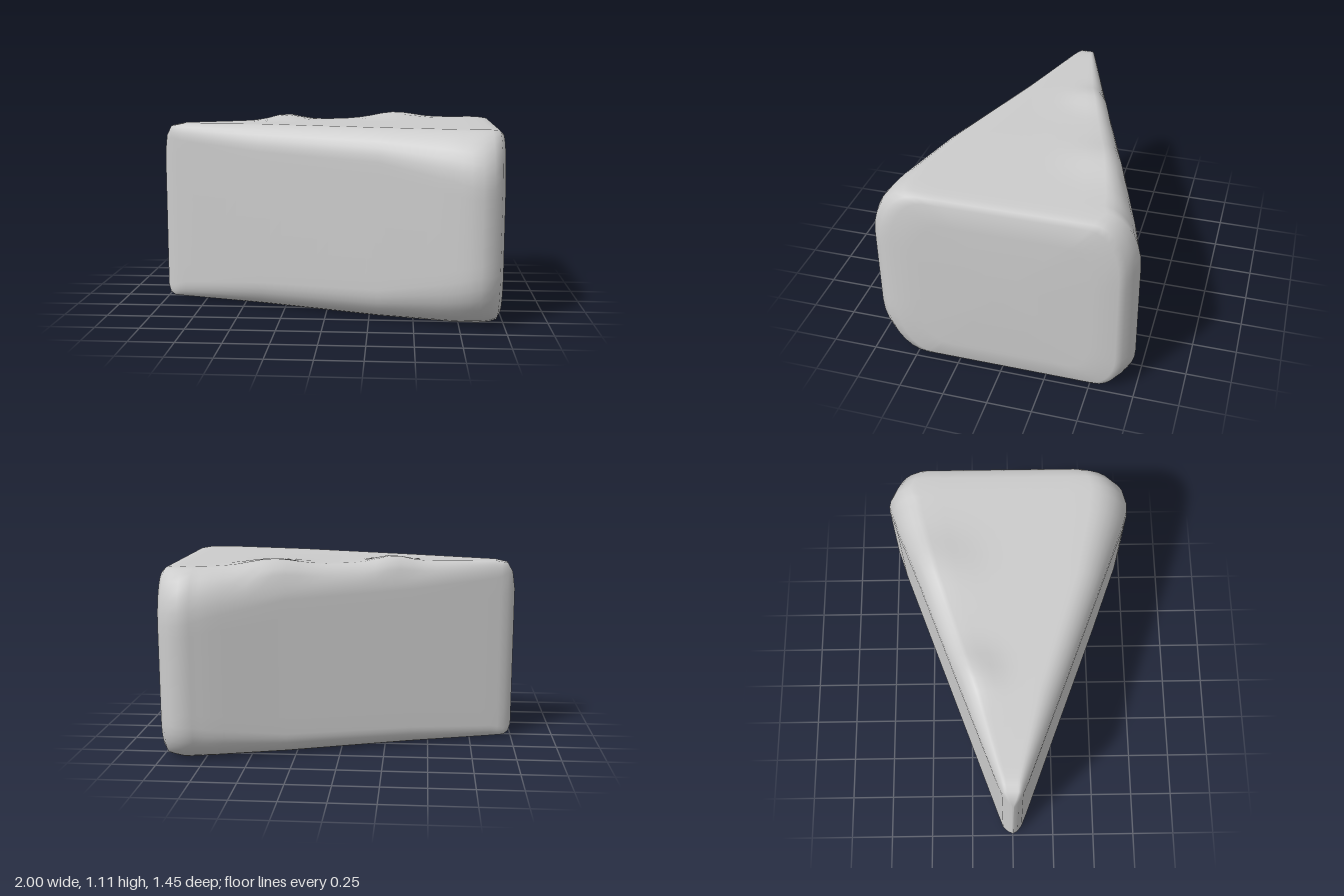
import * as THREE from 'three';

// Cross-sections along x: [x, zFront, zBack, yBottom, yTop, edge height, edge depth]
const SECTIONS = [
  [-1.0, 0.006, -0.006, 0.07, 0.9, 0.03, 0.003],
  [-0.985, 0.03, -0.03, 0.03, 1.0, 0.05, 0.012],
  [-0.955, 0.055, -0.06, 0.012, 1.055, 0.07, 0.025],
  [-0.88, 0.088, -0.09, 0.008, 1.07, 0.1, 0.05],
  [-0.4, 0.272, -0.267, 0.005, 1.078, 0.15, 0.12],
  [0.3, 0.54, -0.525, 0.003, 1.08, 0.18, 0.16],
  [0.7, 0.69, -0.675, 0.002, 1.08, 0.26, 0.22],
  [0.8, 0.72, -0.707, 0.002, 1.08, 0.29, 0.24],
  [0.86, 0.724, -0.728, 0.003, 1.08, 0.3, 0.24],
  [0.92, 0.71, -0.703, 0.005, 1.078, 0.3, 0.24],
  [0.965, 0.66, -0.675, 0.01, 1.072, 0.3, 0.22],
  [0.988, 0.59, -0.64, 0.035, 1.05, 0.28, 0.2],
  [1.0, 0.47, -0.5, 0.14, 0.93, 0.24, 0.18],
];

// Small raised lumps on the top: [x, z, height, radius]
const BUMPS = [[-0.28, -0.2, 0.035, 0.12], [0.38, -0.42, 0.035, 0.17]];

function densify(sections) {
  const out = [];
  sections.forEach((s, i) => {
    out.push(s);
    const next = sections[i + 1];
    if (!next) return;
    const steps = Math.ceil((next[0] - s[0]) / 0.07);
    for (let k = 1; k < steps; k++) out.push(s.map((v, n) => v + (next[n] - v) * k / steps));
  });
  return out;
}

// Rounded loop in the y-z plane, from the front over the top to the back and under
function ring([x, zf, zb, y0, y1, ry, rz]) {
  const N = 7, FLAT = 8, pts = [];
  const corners = [
    [zf, y1, -1, -1, 1, 1],
    [zb, y1, 1, -1, 0.8, 1],
    [zb, y0, 1, 1, 0.7, 0.7],
    [zf, y0, -1, 1, 1, 1],
  ];
  const loop = [];
  corners.forEach(([z, y, sz, sy, kz, ky], q) => {
    const a = rz * kz, b = ry * ky;
    for (let k = 0; k <= N; k++) {
      const t = (q + k / N) * Math.PI / 2;
      loop.push([z + sz * a + a * Math.cos(t), y + sy * b + b * Math.sin(t)]);
    }
  });
  // Subdivide the flat stretches between corners
  loop.forEach((p, i) => {
    pts.push(p);
    if (i % (N + 1) !== N) return;
    const n = loop[(i + 1) % loop.length];
    for (let k = 1; k < FLAT; k++) pts.push([p[0] + (n[0] - p[0]) * k / FLAT, p[1] + (n[1] - p[1]) * k / FLAT]);
  });
  return pts.map(([z, y]) => {
    let h = 0;
    if (y > 1) for (const [bx, bz, bh, br] of BUMPS) h += bh * Math.exp(-((x - bx) ** 2 + (z - bz) ** 2) / (br * br));
    return [x, y + h, z];
  });
}

function wedgeGeometry() {
  const rings = densify(SECTIONS).map(ring);
  const n = rings[0].length, last = rings.length - 1;
  const pos = rings.flat(2), idx = [];
  for (let i = 0; i < last; i++) {
    for (let j = 0; j < n; j++) {
      const k = (j + 1) % n;
      const a = i * n + j, b = a + n, c = (i + 1) * n + k, d = i * n + k;
      idx.push(a, b, c, a, c, d);
    }
  }
  // Caps at the tip and the broad end
  const tip = pos.length / 3, end = tip + 1;
  pos.push(-1, 0.5, 0, 1, 0.55, 0);
  for (let j = 0; j < n; j++) {
    const k = (j + 1) % n;
    idx.push(tip, j, k, end, last * n + k, last * n + j);
  }
  const geo = new THREE.BufferGeometry();
  geo.setAttribute('position', new THREE.Float32BufferAttribute(pos, 3));
  geo.setIndex(idx);
  geo.computeVertexNormals();
  return geo;
}

export function createModel() {
  const group = new THREE.Group();
  group.name = 'wedge';
  const lightGrey = new THREE.MeshStandardMaterial({ color: 0xcccccc });
  lightGrey.name = 'lightGrey';
  const body = new THREE.Mesh(wedgeGeometry(), lightGrey);
  body.name = 'wedgeBody';
  group.add(body);
  return group;
}
